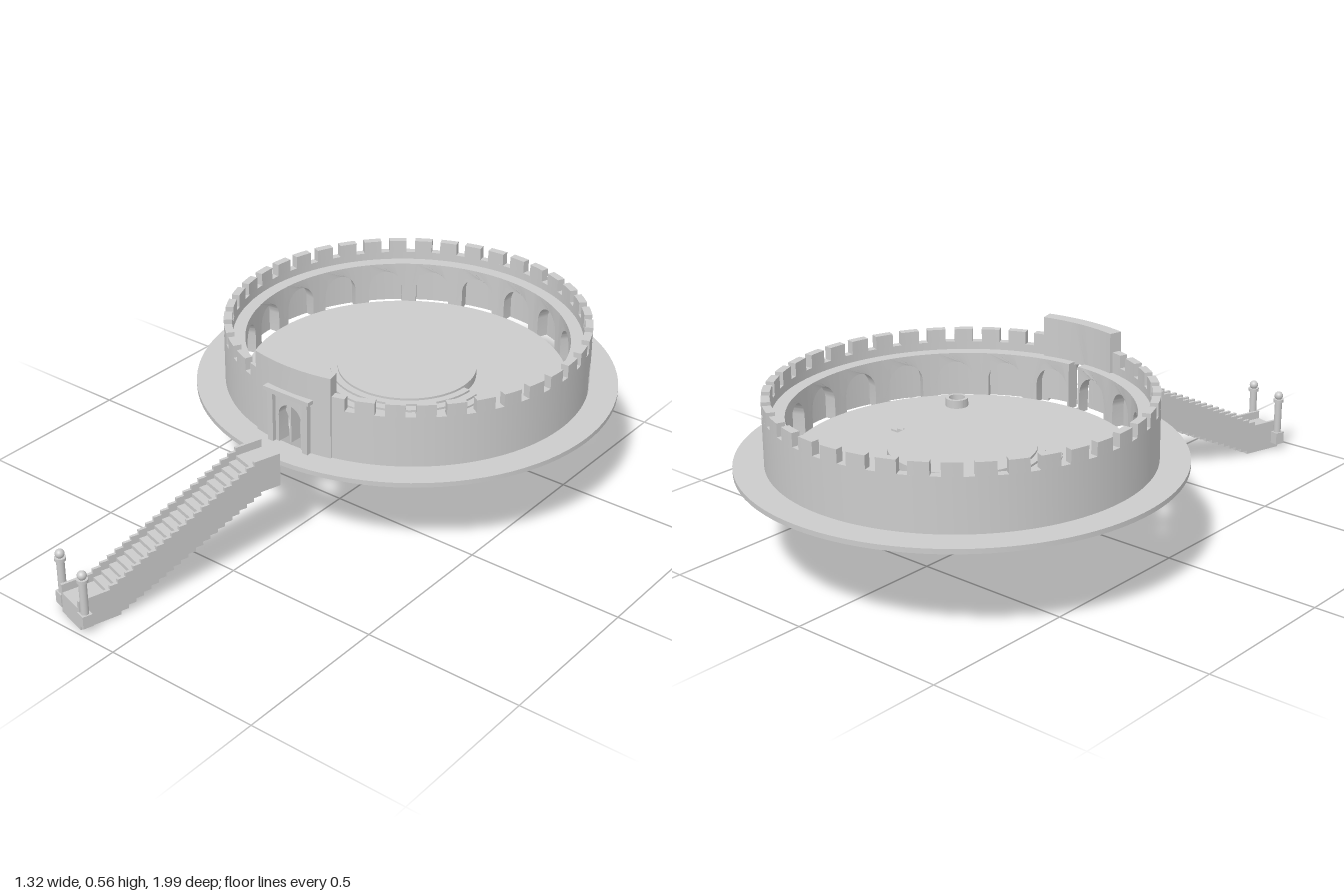
import * as THREE from 'three';
import { toCreasedNormals } from 'three/addons/utils/BufferGeometryUtils.js';

const material = new THREE.MeshStandardMaterial({ color: 0xcccccc });
const rad = THREE.MathUtils.degToRad;

function add(parent, name, geometry, x = 0, y = 0, z = 0) {
  const mesh = new THREE.Mesh(geometry, material);
  mesh.name = name;
  mesh.position.set(x, y, z);
  parent.add(mesh);
  return mesh;
}

// Curved block between two radii, angles in degrees from +z towards +x
function arcBlock(rIn, rOut, a0, a1, y0, y1) {
  const shape = new THREE.Shape();
  const t0 = rad(a0 - 90), t1 = rad(a1 - 90);
  shape.absarc(0, 0, rOut, t0, t1, false);
  shape.absarc(0, 0, rIn, t1, t0, true);
  const geo = new THREE.ExtrudeGeometry(shape, {
    depth: y1 - y0, bevelEnabled: false, curveSegments: Math.max(2, Math.ceil((a1 - a0) / 3)),
  });
  geo.rotateX(-Math.PI / 2).translate(0, y0, 0);
  return toCreasedNormals(geo, 0.5);
}

// Curved wall panel with an arched opening, bent round the centre
function archPanel(rIn, rOut, a0, a1, mid, half, spring, y0, y1) {
  const xa = rad(a0 - mid) * rOut, xb = rad(a1 - mid) * rOut;
  const shape = new THREE.Shape();
  shape.moveTo(xa, y0);
  shape.lineTo(-half, y0);
  shape.lineTo(-half, spring);
  shape.absarc(0, spring, half, Math.PI, 0, true);
  shape.lineTo(half, y0);
  shape.lineTo(xb, y0);
  for (let i = 0; i <= 6; i++) shape.lineTo(xb + (xa - xb) * i / 6, y1);
  const geo = new THREE.ExtrudeGeometry(shape, { depth: rOut - rIn, bevelEnabled: false, curveSegments: 14 });
  const p = geo.attributes.position;
  for (let i = 0; i < p.count; i++) {
    const r = rIn + p.getZ(i), a = rad(mid) + p.getX(i) / rOut;
    p.setXYZ(i, r * Math.sin(a), p.getY(i), r * Math.cos(a));
  }
  return toCreasedNormals(geo, 0.5);
}

// Solid of revolution from [radius, height] pairs
function lathe(pairs, segments) {
  const points = pairs.map(([r, y]) => new THREE.Vector2(r, y));
  return toCreasedNormals(new THREE.LatheGeometry(points, segments), 0.5);
}

function buildFortress() {
  const fort = new THREE.Group();
  fort.name = 'fortress';
  fort.position.z = -0.34;

  // Ground: outer terrace ring and courtyard floor
  add(fort, 'terrace', lathe([[0.57, 0.287], [0.66, 0.287], [0.66, 0.302], [0.57, 0.302], [0.57, 0.287]], 96));
  add(fort, 'courtyardFloor', new THREE.CylinderGeometry(0.505, 0.505, 0.013, 96), 0, 0.2955, 0);

  // Outer wall with a side door
  const door = 117;
  add(fort, 'outerWall', arcBlock(0.545, 0.57, 13, door - 5, 0.289, 0.465));
  add(fort, 'outerWall', arcBlock(0.545, 0.57, door + 5, 347, 0.289, 0.465));
  add(fort, 'sideDoorWall', archPanel(0.545, 0.57, door - 5, door + 5, door, 0.03, 0.37, 0.289, 0.465));

  // Battlements
  const merlons = 38, first = 15.2, step = (360 - 2 * first) / (merlons - 1);
  for (let i = 0; i < merlons; i++) {
    const a = first + i * step;
    add(fort, 'merlon', arcBlock(0.545, 0.57, a - 2.95, a + 2.95, 0.465, 0.505));
  }

  // Inner arcade carrying the wall walk, open behind the gate
  for (let i = 0; i < 20; i++) {
    const a0 = i === 0 ? 2.1 : i * 18, a1 = i === 19 ? 357.9 : (i + 1) * 18;
    add(fort, 'arcadeBay', archPanel(0.505, 0.545, a0, a1, i * 18 + 9, 0.06, 0.352, 0.29, 0.44));
  }

  // Gatehouse with arched doorway and frame
  add(fort, 'gateArch', archPanel(0.535, 0.576, -6, 6, 0, 0.042, 0.393, 0.302, 0.565));
  for (const s of [-1, 1]) {
    const [a0, a1] = s < 0 ? [-14.1, -6] : [6, 14.1];
    add(fort, 'gatehouseSide', arcBlock(0.535, 0.576, a0, a1, 0.302, 0.565));
    add(fort, 'gatePilaster', new THREE.BoxGeometry(0.02, 0.165, 0.025), s * 0.065, 0.3845, 0.5745);
  }
  add(fort, 'gateLintel', new THREE.BoxGeometry(0.15, 0.008, 0.027), 0, 0.467, 0.5745);
  add(fort, 'gateCornice', new THREE.BoxGeometry(0.17, 0.012, 0.034), 0, 0.476, 0.576);

  // Round stage with steps along its front half
  add(fort, 'stage', new THREE.CylinderGeometry(0.218, 0.218, 0.028, 64), 0, 0.315, 0);
  [0.24, 0.265, 0.29].forEach((r, i) =>
    add(fort, 'stageStep', arcBlock(0.2, r, -90, 90, 0.301, 0.322 - i * 0.007)));

  // Courtyard well
  add(fort, 'well', lathe([[0.025, 0.302], [0.035, 0.302], [0.035, 0.328], [0.025, 0.328], [0.025, 0.302]], 24),
    0.29, 0, 0.29);
  return fort;
}

// Side outline of the stairs, lifted by a height above the treads
function stairShape(lift) {
  const n = 20, shape = new THREE.Shape();
  shape.moveTo(0, 0);
  shape.lineTo(0.13, 0);
  for (let i = 1; i <= n; i++) {
    const x = 0.13 + 0.5 * (i - 1) / n, y = 0.235 * i / n;
    shape.lineTo(x, y);
    shape.lineTo(x + 0.5 / n, y);
  }
  shape.lineTo(0.672, 0.235);
  shape.lineTo(0.672, 0.316 + lift);
  shape.lineTo(0.61, 0.316 + lift);
  for (let i = n; i >= 1; i--) {
    const x = 0.1 + 0.51 * (i - 1) / n;
    shape.lineTo(x, 0.07 + 0.246 * i / n + lift);
    shape.lineTo(x, 0.07 + 0.246 * (i - 1) / n + lift);
  }
  shape.lineTo(0, 0.07 + lift);
  return shape;
}

function buildStairs() {
  const stairs = new THREE.Group();
  stairs.name = 'stairs';
  stairs.position.set(-0.193, 0, 0.968);
  stairs.rotation.y = rad(73.5);
  const slab = (lift, width) =>
    new THREE.ExtrudeGeometry(stairShape(lift), { depth: width, bevelEnabled: false }).translate(0, 0, -width / 2);

  add(stairs, 'treads', slab(0, 0.09));
  for (const s of [-1, 1]) {
    add(stairs, 'parapet', slab(0.026, 0.009), 0, 0, s * 0.0495);

    // Entrance post: base, shaft, collar and ball
    const post = new THREE.Group();
    post.name = 'entrancePost';
    post.position.set(0.012, 0, s * 0.065);
    add(post, 'postBase', new THREE.BoxGeometry(0.032, 0.04, 0.032), 0, 0.04, 0);
    add(post, 'postShaft', new THREE.CylinderGeometry(0.012, 0.012, 0.11, 20), 0, 0.115, 0);
    add(post, 'postCollar', new THREE.CylinderGeometry(0.017, 0.017, 0.01, 20), 0, 0.171, 0);
    add(post, 'postBall', new THREE.SphereGeometry(0.014, 20, 14), 0, 0.187, 0);
    stairs.add(post);
  }
  return stairs;
}

export function createModel() {
  const model = new THREE.Group();
  model.name = 'roundFortress';
  model.add(buildFortress(), buildStairs());
  return model;
}
